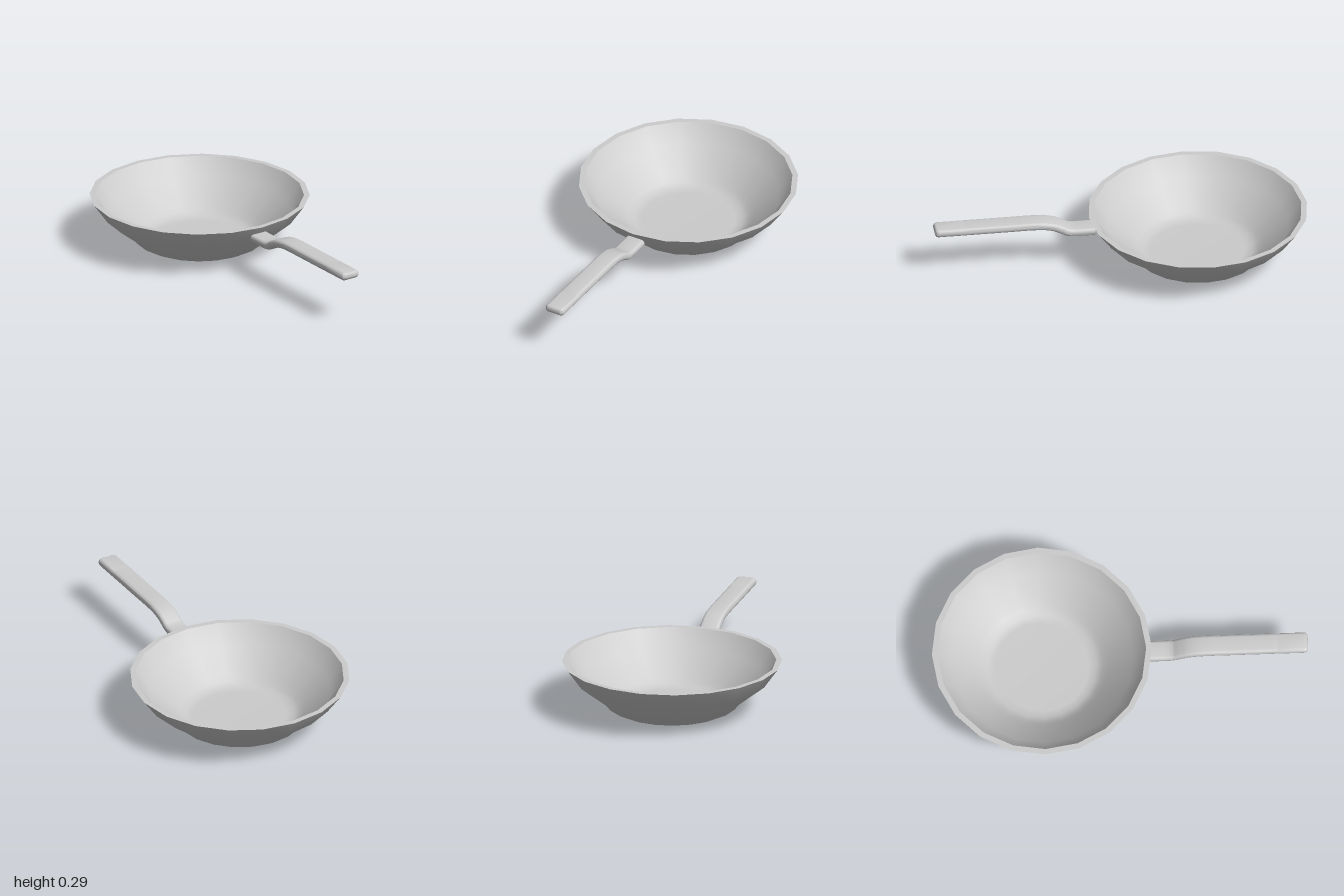
import * as THREE from 'three';
import { toCreasedNormals } from 'three/addons/utils/BufferGeometryUtils.js';

const SIDES = 20;
const HALF_W = 0.055, THICK = 0.043, ROUND = 0.018;   // handle section
const GRIP_Y = 0.268, HOLE_Z = 0.935, HOLE_R = 0.027;

const material = new THREE.MeshStandardMaterial({ color: 0xcccccc });

function addMesh(parent, name, geometry) {
  const mesh = new THREE.Mesh(geometry, material);
  mesh.name = name;
  parent.add(mesh);
}

function lathe(profile) {
  return new THREE.LatheGeometry(profile.map(([r, y]) => new THREE.Vector2(r, y)), SIDES);
}

// Rounded rectangle section of the handle, counter-clockwise
function handleSection(steps = 4) {
  const pts = [];
  const cx = HALF_W - ROUND, cy = THICK / 2 - ROUND;
  [[1, 1], [-1, 1], [-1, -1], [1, -1]].forEach(([sx, sy], q) => {
    for (let i = 0; i <= steps; i++) {
      const a = (q + i / steps) * Math.PI / 2;
      pts.push([sx * cx + ROUND * Math.cos(a), sy * cy + ROUND * Math.sin(a)]);
    }
  });
  return pts;
}

// Curved handle: the section swept along a path in the y-z plane
function sweptHandle() {
  const path = new THREE.CatmullRomCurve3([
    [0.14, 0.212], [0.2, 0.212], [0.26, 0.213], [0.29, 0.219], [0.32, 0.235],
    [0.36, 0.253], [0.41, 0.264], [0.47, GRIP_Y], [0.6, GRIP_Y], [0.84, GRIP_Y],
  ].map(([z, y]) => new THREE.Vector3(0, y, z)));
  const section = handleSection(), n = section.length, rings = 48;
  const pos = [], index = [];
  for (let i = 0; i <= rings; i++) {
    const p = path.getPoint(i / rings), t = path.getTangent(i / rings);
    for (const [x, v] of section) pos.push(x, p.y + v * t.z, p.z - v * t.y);
  }
  for (let i = 0; i < rings; i++) {
    for (let j = 0; j < n; j++) {
      const a = i * n + j, b = i * n + (j + 1) % n;
      index.push(a, b, a + n, b, b + n, a + n);
    }
  }
  // cap facing the bowl
  for (let j = 1; j < n - 1; j++) index.push(0, j + 1, j);
  const g = new THREE.BufferGeometry();
  g.setAttribute('position', new THREE.Float32BufferAttribute(pos, 3));
  g.setIndex(index);
  return toCreasedNormals(g, 0.7);
}

// Handle end: bevelled plate with a straight-walled hanging hole
function handleEnd() {
  const c = 0.02, w = HALF_W, z0 = 0.82;
  const plan = new THREE.Shape();
  plan.moveTo(-w, z0);
  plan.lineTo(w, z0);
  plan.lineTo(w, 1 - c);
  plan.absarc(w - c, 1 - c, c, 0, Math.PI / 2);
  plan.absarc(-w + c, 1 - c, c, Math.PI / 2, Math.PI);
  plan.closePath();
  plan.holes.push(new THREE.Path().absarc(0, HOLE_Z, HOLE_R, 0, Math.PI * 2, true));
  const depth = THICK - 2 * ROUND;
  const g = new THREE.ExtrudeGeometry(plan, {
    depth, bevelThickness: ROUND, bevelSize: ROUND, bevelOffset: -ROUND,
    bevelSegments: 4, curveSegments: 6,
  });
  // the bevel widens the hole, so bring its rings back to one radius
  const p = g.attributes.position;
  for (let i = 0; i < p.count; i++) {
    const x = p.getX(i), dz = p.getY(i) - HOLE_Z, d = Math.hypot(x, dz);
    if (d < 0.05) p.setXY(i, x / d * HOLE_R, HOLE_Z + dz / d * HOLE_R);
  }
  g.translate(0, 0, -depth / 2);
  g.rotateX(Math.PI / 2);
  g.translate(0, GRIP_Y, 0);
  return toCreasedNormals(g, 0.7);
}

export function createModel() {
  const model = new THREE.Group();
  model.name = 'fryingPan';

  // Bowl: separate lathes keep the rim edges sharp
  const bowl = new THREE.Group();
  bowl.name = 'bowl';
  bowl.position.z = -0.415;
  addMesh(bowl, 'bowlBase', lathe([[0, 0], [0.26, 0]]));
  addMesh(bowl, 'bowlOutside', lathe([
    [0.26, 0], [0.302, 0.01], [0.347, 0.032], [0.372, 0.062], [0.51, 0.17], [0.585, 0.275],
  ]));
  addMesh(bowl, 'bowlRim', lathe([[0.585, 0.275], [0.555, 0.275]]));
  addMesh(bowl, 'bowlInside', lathe([
    [0.555, 0.275], [0.485, 0.18], [0.35, 0.075], [0.325, 0.048], [0.29, 0.032], [0.25, 0.025], [0, 0.025],
  ]));
  model.add(bowl);

  const handle = new THREE.Group();
  handle.name = 'handle';
  addMesh(handle, 'handleGrip', sweptHandle());
  addMesh(handle, 'handleEnd', handleEnd());
  model.add(handle);

  return model;
}
